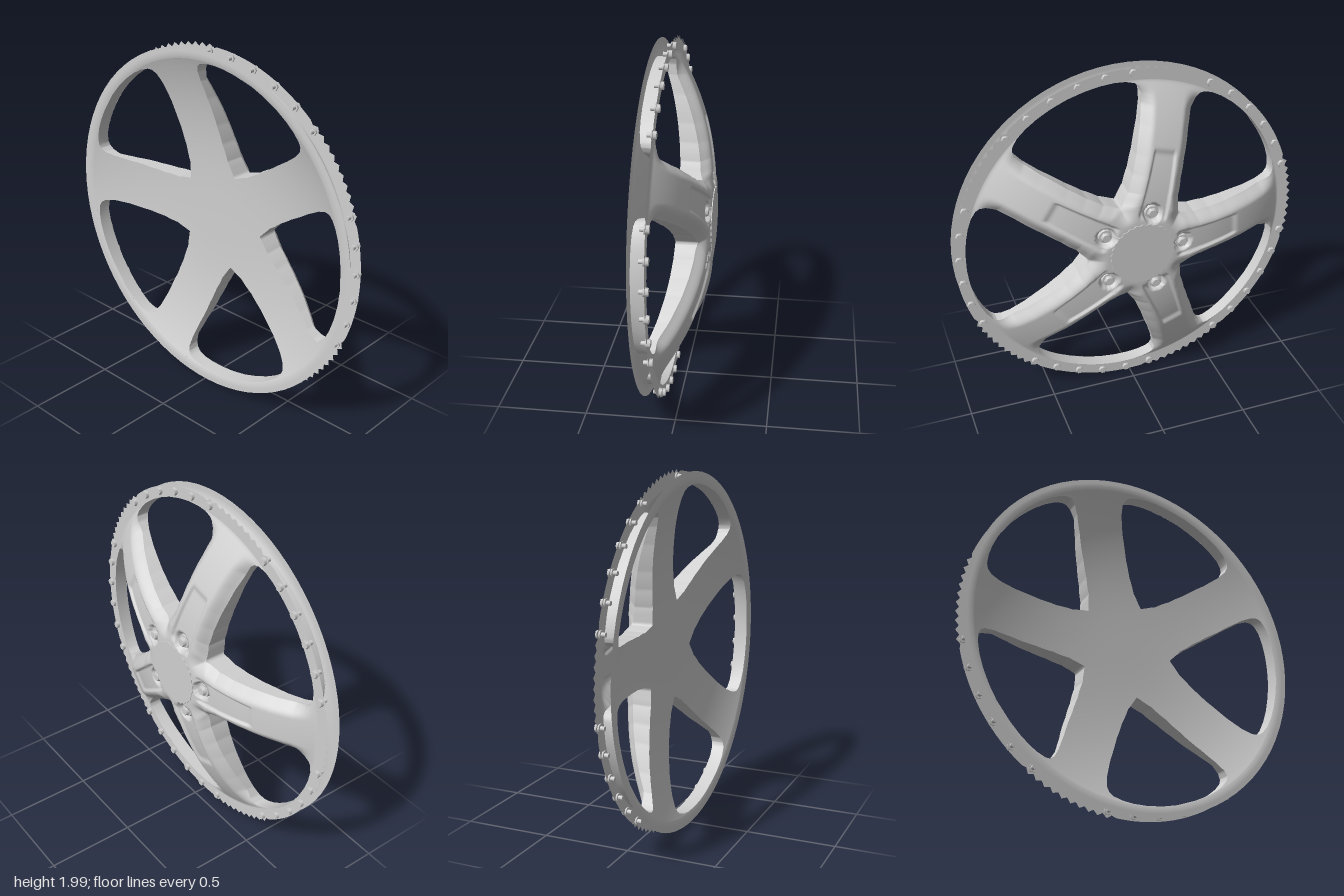
import * as THREE from 'three';
import { mergeVertices } from 'three/addons/utils/BufferGeometryUtils.js';

const RAD = Math.PI / 180;
const SPOKES = 5, FIRST = 3; // degrees, angle of the first spoke
const RIM = 0.9265;          // outer radius of the windows

// Radius -> half angle of a spoke in degrees; 36 means a closed ring
const HALF = [[0.29, 36], [0.3, 33.6], [0.32, 30], [0.36, 24], [0.45, 18.2], [0.55, 14.7],
  [0.7, 11.6], [0.8, 10.5], [0.86, 10.6], [0.89, 11.5], [0.905, 13], [0.916, 16],
  [0.922, 20], [0.925, 25], [0.926, 30.5], [RIM, 36]];

function halfAngle(r) {
  if (r <= HALF[0][0] || r >= RIM) return 36;
  const i = HALF.findIndex(p => p[0] >= r);
  const [r0, h0] = HALF[i - 1], [r1, h1] = HALF[i];
  return h0 + (h1 - h0) * (r - r0) / (r1 - r0);
}

const smooth = (a, b, v) => THREE.MathUtils.smoothstep(v, a, b);

// Rows shared by the front, the back and the window walls
const rows = HALF.map(p => p[0]);
for (let r = 0; r < 0.9; r += 0.0115) if (!rows.some(q => Math.abs(q - r) < 0.003)) rows.push(r);
rows.push(0.945, 0.965, 0.985);
rows.sort((a, b) => a - b);

// Domed face with rounded spoke shoulders, long pockets and bolt wells
function frontX(r, phi, s) {
  let x = Math.max(-0.075, 0.155 - 0.29 * Math.pow(r, 2.6));
  const open = smooth(0.2, 0.32, r) * (1 - smooth(0.78, 0.92, r));
  x -= 0.065 * open * Math.pow(smooth(0.5, 1.15, Math.abs(s)), 1.2);
  const t = Math.abs(r * Math.sin(phi)), along = r * Math.cos(phi);
  const half = 0.07 - (along - 0.26) * 0.05;
  x -= 0.013 * smooth(-0.012, 0, half - t) * smooth(0.2, 0.23, along) * (1 - smooth(0.56, 0.6, along));
  x -= 0.03 * (1 - smooth(0.044, 0.056, Math.hypot(along - 0.24, t)));
  return x;
}

// Dished rear face
const backX = r => -0.02 - 0.14 * Math.pow(Math.min(1, r / 0.94), 3);

const place = (x, r, a) => [x, 1 + r * Math.sin(a), -r * Math.cos(a)];

function surface(pos, idx) {
  let g = new THREE.BufferGeometry();
  g.setAttribute('position', new THREE.Float32BufferAttribute(pos, 3));
  g.setIndex(idx);
  g = mergeVertices(g, 1e-5);
  g.computeVertexNormals();
  return g;
}

// Five sectors of a spoked disc
function spokedDisc(cols, isFront) {
  const pos = [], idx = [], w = cols + 1;
  for (let k = 0; k < SPOKES; k++) {
    const base = pos.length / 3, centre = (FIRST + 72 * k) * RAD;
    rows.forEach((r, i) => {
      for (let j = 0; j <= cols; j++) {
        const s = 2 * j / cols - 1, phi = s * halfAngle(r) * RAD;
        let rr = r;
        if (i === rows.length - 1) {
          rr = isFront && Math.abs(phi) < 15.5 * RAD ? (j % 2 ? 1 : 0.98) : 0.988;
        }
        pos.push(...place(isFront ? frontX(r, phi, s) : backX(r), rr, centre + phi));
        if (i && j) {
          const d = base + i * w + j, c = d - 1, b = d - w, a = b - 1;
          if (isFront) idx.push(a, c, d, a, d, b);
          else idx.push(a, d, c, a, b, d);
        }
      }
    });
  }
  return surface(pos, idx);
}

// Walls joining front and back around each window
function windowWalls() {
  const pos = [], idx = [];
  const edge = rows.filter(r => r >= 0.29 && r <= RIM);
  for (let k = 0; k < SPOKES; k++) for (const s of [-1, 1]) {
    const base = pos.length / 3, centre = (FIRST + 72 * k) * RAD;
    edge.forEach((r, i) => {
      const phi = s * halfAngle(r) * RAD;
      pos.push(...place(frontX(r, phi, s), r, centre + phi), ...place(backX(r), r, centre + phi));
      if (i) {
        const c = base + i * 2, a = c - 2, b = a + 1, d = c + 1;
        if (s > 0) idx.push(a, d, c, a, b, d);
        else idx.push(a, c, d, a, d, b);
      }
    });
  }
  return surface(pos, idx);
}

// Cylinder along x between two positions
function axle(r0, r1, x0, x1, sides) {
  return new THREE.CylinderGeometry(r1, r0, x1 - x0, sides)
    .rotateZ(-Math.PI / 2).translate((x0 + x1) / 2, 0, 0);
}

export function createModel() {
  const silver = new THREE.MeshStandardMaterial({ color: 0xd0d0d0, side: THREE.DoubleSide });
  silver.name = 'silver';
  const wheel = new THREE.Group();
  wheel.name = 'wheel';
  const add = (parent, name, geo) => {
    const m = new THREE.Mesh(geo, silver);
    m.name = name;
    parent.add(m);
    return m;
  };

  add(wheel, 'spokedFace', spokedDisc(48, true));
  add(wheel, 'rearFace', spokedDisc(16, false));
  add(wheel, 'windowWalls', windowWalls());

  // Centre cap with a notched edge
  const outline = [];
  for (let i = 0; i < 60; i++) {
    const r = i % 2 ? 0.186 : 0.178, a = i * 6 * RAD;
    outline.push(new THREE.Vector2(r * Math.cos(a), r * Math.sin(a)));
  }
  const capGeo = new THREE.ExtrudeGeometry(new THREE.Shape(outline), { depth: 0.008, bevelEnabled: false });
  add(wheel, 'centreCap', capGeo.rotateY(Math.PI / 2)).position.set(0.148, 1, 0);

  // Wheel bolts in their wells
  const boltBase = axle(0.042, 0.038, 0.09, 0.122, 16), boltHead = axle(0.03, 0.024, 0.12, 0.142, 6);
  // Small rim screws beside each window
  const shank = axle(0.012, 0.012, -0.106, -0.08, 8), head = axle(0.023, 0.021, -0.084, -0.058, 6);
  for (let k = 0; k < SPOKES; k++) {
    const centre = FIRST + 72 * k;
    const bolt = new THREE.Group();
    bolt.name = 'wheelBolt';
    add(bolt, 'boltBase', boltBase);
    add(bolt, 'boltHead', boltHead);
    bolt.position.set(...place(0, 0.24, centre * RAD));
    wheel.add(bolt);
    for (let i = 0; i < 6; i++) {
      const screw = new THREE.Group();
      screw.name = 'rimScrew';
      add(screw, 'screwShank', shank);
      add(screw, 'screwHead', head);
      screw.position.set(...place(0, 0.962, (centre + 36 + (i - 2.5) * 9) * RAD));
      wheel.add(screw);
    }
  }
  return wheel;
}
